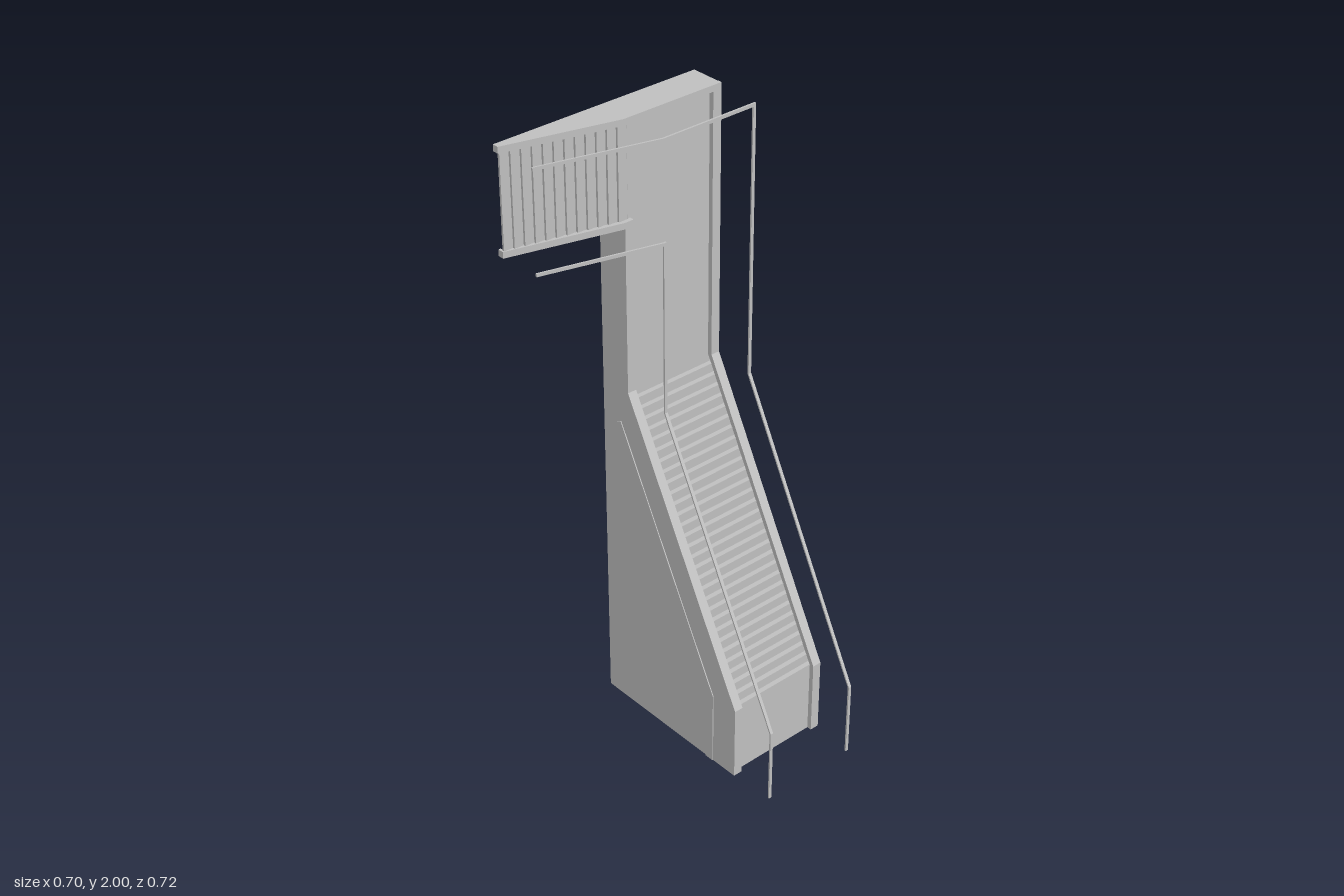
import * as THREE from 'three';

export function createModel() {
  const group = new THREE.Group();
  const grey = new THREE.MeshStandardMaterial({ color: 0xc0c0c0, side: THREE.DoubleSide });
  grey.name = 'light grey';

  const add = (name, geometry) => {
    const mesh = new THREE.Mesh(geometry, grey);
    mesh.name = name;
    group.add(mesh);
    return mesh;
  };
  const extrude = (pts, depth) => new THREE.ExtrudeGeometry(
    new THREE.Shape(pts.map(([a, b]) => new THREE.Vector2(a, b))), { depth, bevelEnabled: false });
  // Side outline of [z, y] points, spanning x0 to x1
  const sidePlate = (name, pts, x0, x1) =>
    add(name, extrude(pts, x1 - x0).rotateY(-Math.PI / 2).translate(x1, 0, 0));
  // Floor outline of [x, z] points, spanning y0 to y1
  const floorPlate = (name, pts, y0, y1) =>
    add(name, extrude(pts.map(([x, z]) => [x, -z]), y1 - y0).rotateX(-Math.PI / 2).translate(0, y0, 0));

  // Bent front profile, set back by t
  const profile = (t, top) => [
    [0.22 - t, 0], [0.22 - t, 0.25 - 0.25 * t], [-0.25 - t, 1.14 - 0.25 * t], [-0.25 - t, top]];
  const band = (t0, t1, top) => [...profile(t0, top), ...profile(t1, top).reverse()];

  // Edge frames
  sidePlate('leftFrame', band(0, 0.015, 2), 0.32, 0.35);
  sidePlate('rightFrame', band(0, 0.015, 1.69), 0, 0.03);

  // Side wall with a raised strip
  sidePlate('sideWall', [...profile(0.012, 1.67), [-0.36, 1.67], [-0.36, 0]], 0, 0.008);
  sidePlate('wallStrip', [[0.125, 0], [0.125, 0.25], [-0.283, 1.03], [-0.31, 1.015],
    [0.095, 0.245], [0.095, 0]], -0.003, 0.014);

  // Stepped sheet with plain panels below and above
  const steps = 30, t = 0.003;
  const front = [[0.205, 0], [0.205, 0.25]];
  for (let i = 0; i < steps; i++) {
    const z = 0.205 - (0.47 * (i + 1)) / steps;
    front.push([z, 0.25 + (0.89 * i) / steps], [z, 0.25 + (0.89 * (i + 1)) / steps]);
  }
  front.push([-0.265, 1.995]);
  const back = front.map(([z, y]) => [z - t, Math.max(0, y - t)]).reverse();
  sidePlate('steppedPanel', [...front, ...back], 0.02, 0.33);

  // Pleated panel of the side arm
  const pleats = 12, outer = [[0.02, -0.263]];
  for (let i = 0; i < pleats; i++) {
    const x = 0.02 - (0.365 * (i + 1)) / pleats;
    outer.push([x, -0.263 - (0.085 * i) / pleats], [x, -0.263 - (0.085 * (i + 1)) / pleats]);
  }
  const inner = outer.map(([x, z]) => [x + t, z - t]).reverse();
  floorPlate('armPanel', [...outer, ...inner], 1.672, 1.995);

  // Roof and arm floor
  floorPlate('roof', [[-0.35, -0.36], [0.348, -0.36], [0.348, -0.25], [0, -0.25], [-0.35, -0.34]], 1.996, 2);
  floorPlate('armFloor', [[-0.35, -0.36], [0.008, -0.36], [0.008, -0.25], [0, -0.25], [-0.35, -0.34]], 1.67, 1.674);

  // Trim along the plate edges
  for (const [y, end] of [[1.67, 0.03], [1.98, 0.35]]) {
    floorPlate('edgeTrim', [[end, -0.25], [0, -0.25], [-0.35, -0.34], [-0.35, -0.352],
      [0, -0.264], [end, -0.264]], y, y + 0.02);
    floorPlate('endTrim', [[-0.35, -0.34], [-0.35, -0.36], [-0.342, -0.36], [-0.342, -0.342]], y, y + 0.02);
  }

  // Thin free-standing rails
  const rail = (name, x, y) => {
    const z = -0.1;
    sidePlate(name, [[0.363, 0], [0.363, 0.25], [z, 1.14], [z, y], [z - 0.005, y],
      [z - 0.005, 1.139], [0.358, 0.249], [0.358, 0]], x - 0.005, x + 0.005);
    floorPlate(name + 'Top', [[x + 0.005, z], [0.012, z], [-0.35, -0.195], [-0.35, -0.2],
      [0.012, z - 0.006], [x + 0.005, z - 0.006]], y - 0.01, y);
  };
  rail('rightRail', 0.015, 1.685);
  rail('leftRail', 0.335, 1.995);

  return group;
}
